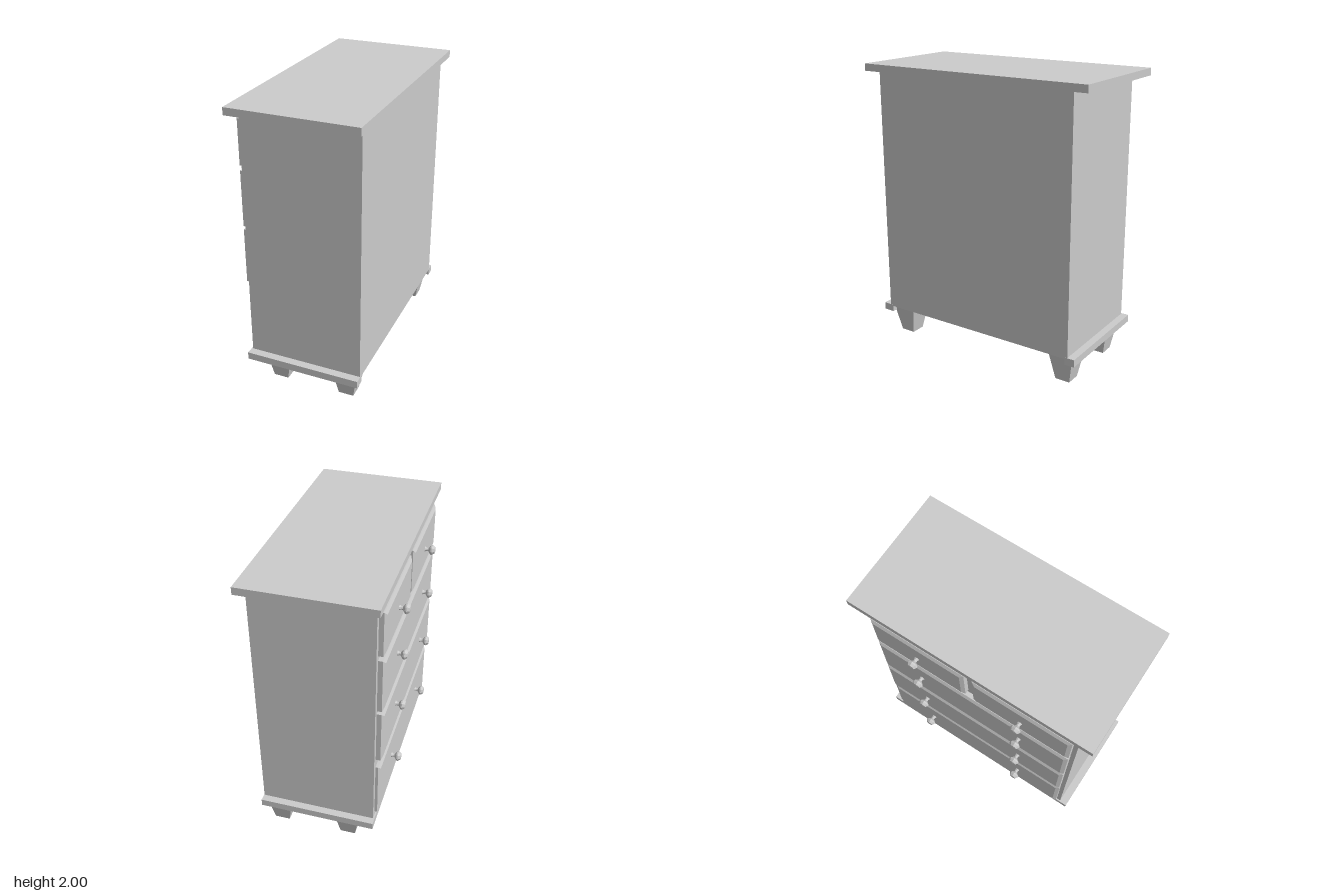
import * as THREE from 'three';

export function createModel() {
  const model = new THREE.Group();
  const material = new THREE.MeshStandardMaterial({ color: 0xcccccc, flatShading: true });

  const add = (name, geometry, parent = model) => {
    const mesh = new THREE.Mesh(geometry, material);
    mesh.name = name;
    parent.add(mesh);
    return mesh;
  };
  // Box given by its limits on each axis
  const box = (name, [x0, x1], [y0, y1], [z0, z1]) =>
    add(name, new THREE.BoxGeometry(x1 - x0, y1 - y0, z1 - z0))
      .position.set((x0 + x1) / 2, (y0 + y1) / 2, (z0 + z1) / 2);

  // Carcass and overhanging top
  box('body', [-0.36, 0.437], [0.205, 1.95], [-0.752, 0.76]);
  box('top', [-0.405, 0.47], [1.95, 2], [-0.862, 0.862]);

  // Base moulding on three sides, open at the back
  box('frontMoulding', [-0.37, -0.32], [0.165, 0.217], [-0.803, 0.815]);
  box('leftMoulding', [-0.32, 0.44], [0.165, 0.217], [0.735, 0.815]);
  box('rightMoulding', [-0.32, 0.44], [0.165, 0.217], [-0.803, -0.735]);

  // Square feet tapering to the floor
  for (const x of [-0.173, 0.318]) {
    for (const z of [-0.682, 0.658]) {
      const geometry = new THREE.CylinderGeometry(0.091 * Math.SQRT2, 0.053 * Math.SQRT2, 0.207, 4);
      geometry.rotateY(Math.PI / 4);
      add('foot', geometry).position.set(x, 0.1035, z);
    }
  }

  // Drawer front: a box whose outer face (-x) is bevelled inward
  const drawerFront = (height, width) => {
    const geometry = new THREE.BoxGeometry(0.065, height, width, 2, 1, 1);
    const p = geometry.attributes.position;
    const bevel = 0.025;
    for (let i = 0; i < p.count; i++) {
      const x = p.getX(i);
      if (x < -0.03) {
        p.setY(i, p.getY(i) - Math.sign(p.getY(i)) * bevel);
        p.setZ(i, p.getZ(i) - Math.sign(p.getZ(i)) * bevel);
      } else if (x < 0.03) {
        p.setX(i, -0.02);
      }
    }
    geometry.computeVertexNormals();
    return geometry;
  };

  // Faceted knob turned along the x axis
  const knobProfile = [[0.018, 0], [0.012, 0.012], [0.012, 0.024], [0.033, 0.04],
    [0.036, 0.05], [0.024, 0.068], [0, 0.071]].map(([r, h]) => new THREE.Vector2(r, h));
  const knobGeometry = new THREE.LatheGeometry(knobProfile, 8).rotateZ(Math.PI / 2);

  const drawer = (y0, y1, z0, z1, faceX, knobY, knobs) => {
    const group = new THREE.Group();
    group.name = 'drawer';
    model.add(group);
    add('drawerFront', drawerFront(y1 - y0, z1 - z0), group)
      .position.set(faceX + 0.0325, (y0 + y1) / 2, (z0 + z1) / 2);
    for (const z of knobs) add('knob', knobGeometry, group).position.set(faceX, knobY, z);
  };

  // Two half-width drawers above three full-width ones
  const left = -0.715, right = 0.73;
  drawer(1.58, 1.89, left, -0.03, -0.404, 1.72, [-0.38]);
  drawer(1.58, 1.89, 0.03, right, -0.404, 1.72, [0.38]);
  drawer(1.155, 1.545, left, right, -0.404, 1.375, [-0.38, 0.38]);
  drawer(0.74, 1.13, left, right, -0.404, 0.96, [-0.38, 0.38]);
  drawer(0.25, 0.67, left, right, -0.391, 0.485, [-0.38, 0.38]);

  return model;
}
